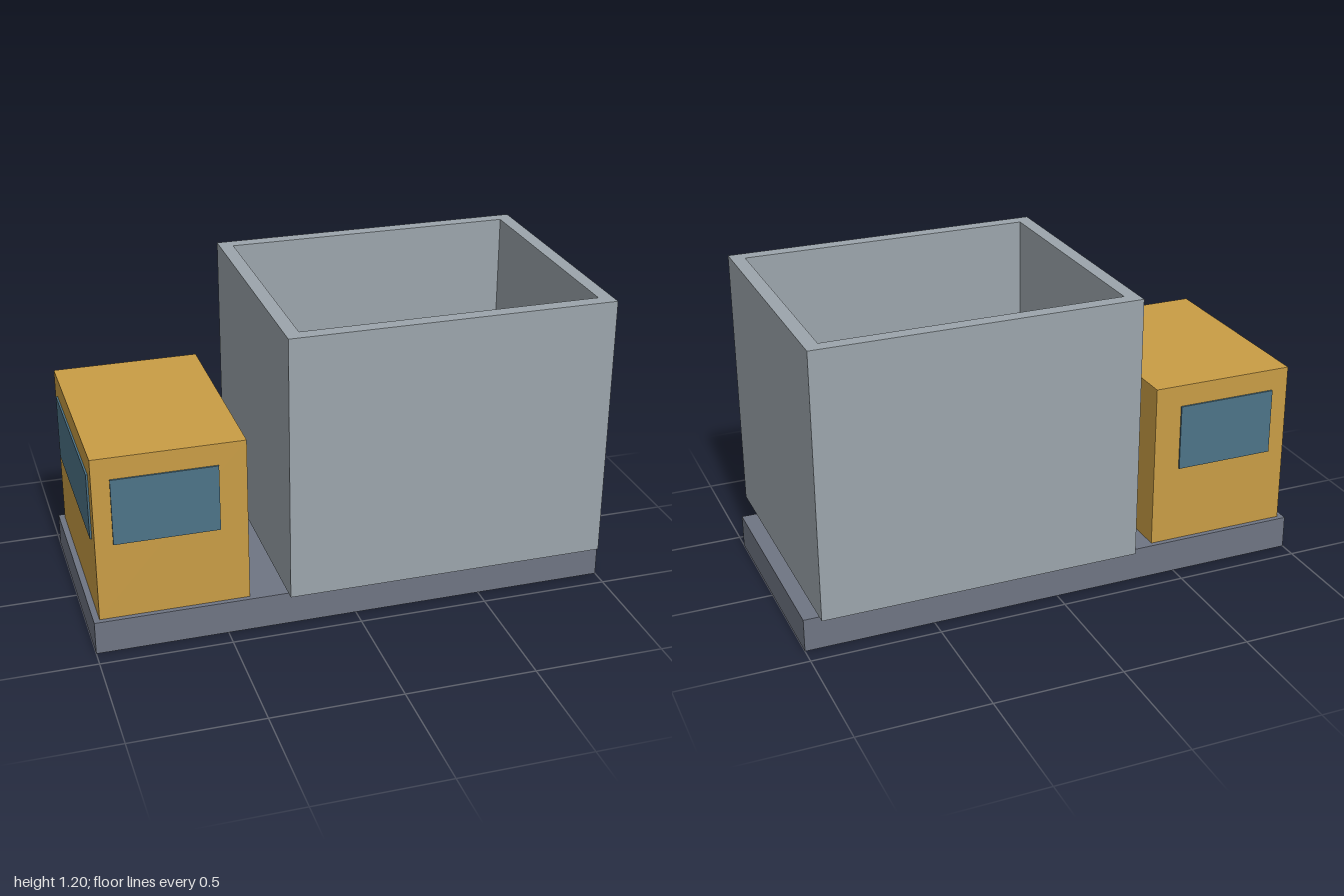
import * as THREE from 'three';

const material = (name, color) => {
  const m = new THREE.MeshStandardMaterial({ color });
  m.name = name;
  return m;
};

// Box given by its minimum and maximum along each axis
function box(name, mat, [x0, x1], [y0, y1], [z0, z1]) {
  const mesh = new THREE.Mesh(new THREE.BoxGeometry(x1 - x0, y1 - y0, z1 - z0), mat);
  mesh.position.set((x0 + x1) / 2, (y0 + y1) / 2, (z0 + z1) / 2);
  mesh.name = name;
  return mesh;
}

function rectangle(PathType, x0, x1, z) {
  return new PathType([[x0, -z], [x1, -z], [x1, z], [x0, z]].map(p => new THREE.Vector2(...p)));
}

export function createModel() {
  const steel = material('chassis grey', 0x6f7583);
  const paint = material('cab yellow', 0xc99d45);
  const glass = material('window blue', 0x4d7488);
  const metal = material('container grey', 0x9ca5ac);

  const model = new THREE.Group();
  model.name = 'truck';

  // Flat chassis
  model.add(box('chassis', steel, [-1, 1], [0, 0.13], [-0.43, 0.43]));

  // Cab with a windscreen facing -x and a window on each side
  const cab = new THREE.Group();
  cab.name = 'cab';
  const sill = [0.435, 0.695];
  cab.add(box('cabBody', paint, [-0.977, -0.41], [0.13, 0.78], [-0.41, 0.41]));
  cab.add(box('windscreen', glass, [-0.984, -0.976], sill, [-0.35, 0.35]));
  for (const side of [1, -1]) {
    const z = [side * 0.409, side * 0.417].sort((a, b) => a - b);
    cab.add(box(side > 0 ? 'frontSideWindow' : 'backSideWindow', glass, [-0.91, -0.515], sill, z));
  }
  model.add(cab);

  // Open container, raised just above the chassis
  const container = new THREE.Group();
  container.name = 'container';
  const outline = rectangle(THREE.Shape, -0.283, 0.957, 0.522);
  outline.holes.push(rectangle(THREE.Path, -0.23, 0.904, 0.468));
  const wallGeometry = new THREE.ExtrudeGeometry(outline, { depth: 1.03, bevelEnabled: false });
  wallGeometry.rotateX(-Math.PI / 2);
  const walls = new THREE.Mesh(wallGeometry, metal);
  walls.position.y = 0.168;
  walls.name = 'containerWalls';
  container.add(walls);
  container.add(box('containerFloor', metal, [-0.23, 0.904], [0.168, 0.22], [-0.468, 0.468]));
  model.add(container);

  return model;
}
